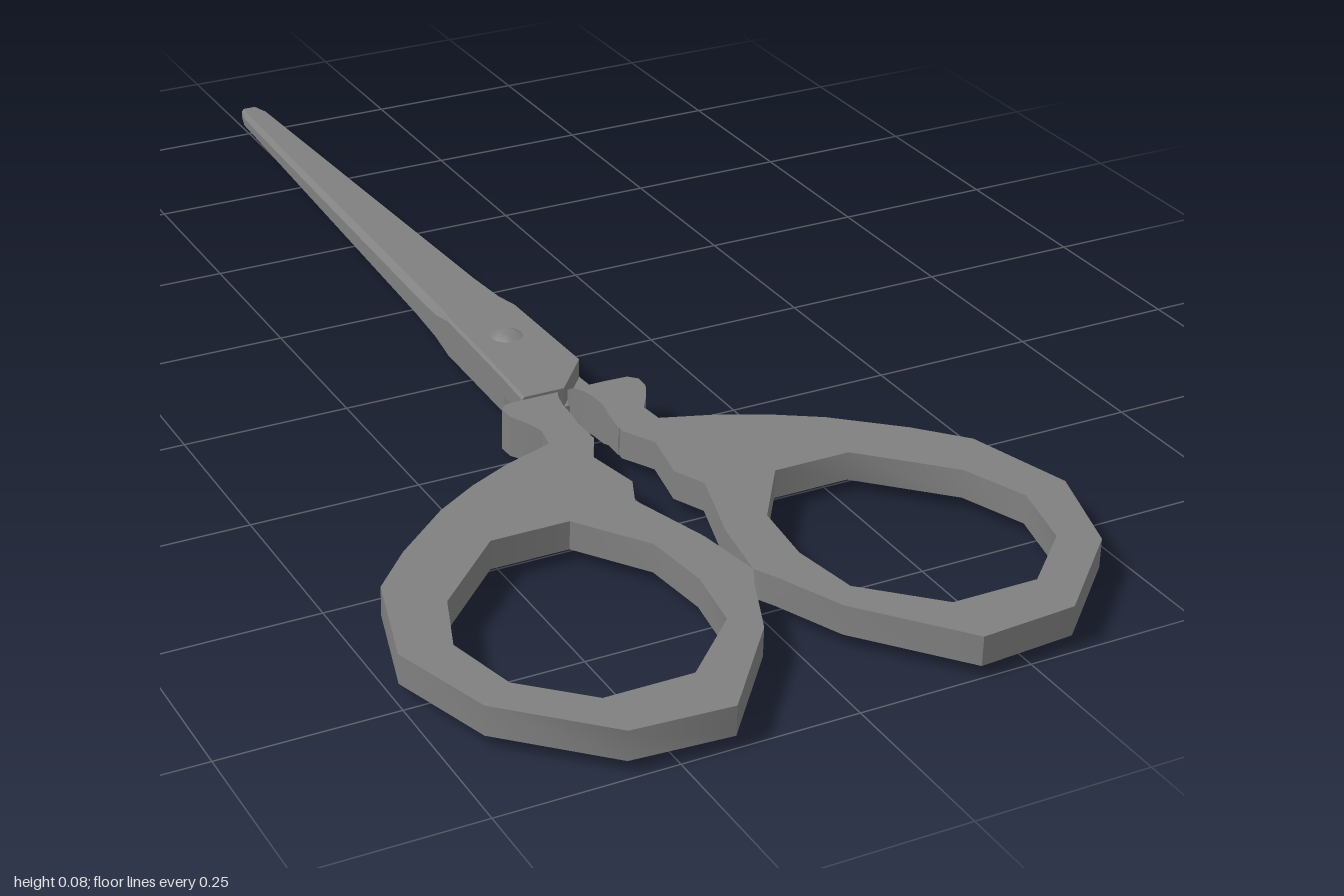
import * as THREE from 'three';
import { toCreasedNormals } from 'three/addons/utils/BufferGeometryUtils.js';

const material = new THREE.MeshStandardMaterial({ color: 0x808080 });
const MID = 0.04; // height of the plane between the two halves

function part(name, geometry) {
  const mesh = new THREE.Mesh(geometry, material);
  mesh.name = name;
  return mesh;
}

// Skin a row of cross-sections (counter-clockwise in x, y) placed along z
function loft(sections) {
  const n = sections[0].points.length;
  const positions = sections.flatMap(({ z, points }) => points.flatMap(([x, y]) => [x, y, z]));
  const index = [];
  for (let i = 0; i < sections.length - 1; i++) {
    for (let j = 0; j < n; j++) {
      const a = i * n + j, b = i * n + (j + 1) % n;
      index.push(a, b, a + n, b, b + n, a + n);
    }
  }
  const last = (sections.length - 1) * n;
  for (let j = 1; j < n - 1; j++) {
    index.push(0, j + 1, j, last, last + j, last + j + 1);
  }
  const geometry = new THREE.BufferGeometry();
  geometry.setAttribute('position', new THREE.Float32BufferAttribute(positions, 3));
  geometry.setIndex(index);
  return toCreasedNormals(geometry, 0.35);
}

// Blade and pivot plate: z, cutting edge x, spine x, thickness, bevel width, edge thickness
function bladeGeometry() {
  const stations = [
    [-1, -0.012, 0.012, 0.008, 0.004, 0.004],
    [-0.97, -0.02, 0.02, 0.009, 0.008, 0.004],
    [-0.2, -0.048, 0.048, 0.02, 0.01, 0.01],
    [-0.12, -0.052, 0.052, 0.023, 0.01, 0.014],
    [-0.07, -0.055, 0.055, 0.03, 0.004, 0.026],
    [0.13, -0.062, 0.06, 0.03, 0.004, 0.026],
    [0.2, -0.066, 0, 0.03, 0.004, 0.026],
  ];
  return loft(stations.map(([z, l, r, h, bevel, edge]) => ({
    z, points: [[l, 0], [r, 0], [r, h], [l + bevel, h], [l, edge]],
  })));
}

// Swollen collar joining shank and handle: z, inner x, outer x, half thickness
function collarGeometry() {
  const stations = [
    [0.196, 0.008, 0.066, 0.024],
    [0.208, 0.014, 0.097, 0.03],
    [0.222, 0.02, 0.108, 0.031],
    [0.245, 0.025, 0.107, 0.031],
    [0.272, 0.026, 0.093, 0.03],
    [0.29, 0.025, 0.08, 0.024],
    [0.325, 0.022, 0.086, 0.0215],
  ];
  return loft(stations.map(([z, a, b, h]) => ({
    z, points: [[-b, -h], [-a, -h], [-a, h], [-b, h]],
  })));
}

// Faceted finger loop, drawn in x and z
function handleGeometry() {
  const outer = [
    [0.08, 0.3], [0.086, 0.323], [0.164, 0.35], [0.23, 0.382], [0.296, 0.423],
    [0.386, 0.5], [0.447, 0.566], [0.492, 0.72], [0.446, 0.868], [0.317, 0.99],
    [0.175, 1], [0.058, 0.862], [0.016, 0.765], [0, 0.735], [0.016, 0.635],
    [0.053, 0.513], [0.032, 0.466], [0.048, 0.383], [0.022, 0.335], [0.026, 0.3],
  ];
  const inner = [
    [0.156, 0.524], [0.272, 0.524], [0.386, 0.635], [0.422, 0.73], [0.397, 0.836],
    [0.312, 0.915], [0.185, 0.915], [0.09, 0.825], [0.074, 0.725], [0.085, 0.624],
  ];
  const toPoints = (list) => list.map(([x, z]) => new THREE.Vector2(-x, -z));
  const shape = new THREE.Shape(toPoints(outer));
  shape.holes.push(new THREE.Path(toPoints(inner)));
  const geometry = new THREE.ExtrudeGeometry(shape, { depth: 0.043, bevelEnabled: false });
  geometry.translate(0, 0, -0.0215);
  geometry.rotateX(-Math.PI / 2);
  return toCreasedNormals(geometry, 0.78);
}

export function createModel() {
  const model = new THREE.Group();
  model.name = 'scissors';

  // The two halves are the same piece, one turned over about the long axis
  const blade = bladeGeometry(), collar = collarGeometry(), handle = handleGeometry();
  ['upperHalf', 'lowerHalf'].forEach((name, i) => {
    const half = new THREE.Group();
    half.name = name;
    half.add(part('blade', blade), part('collar', collar), part('fingerLoop', handle));
    half.rotation.z = i * Math.PI;
    half.position.y = MID;
    model.add(half);
  });

  // Domed pivot rivet through both blades
  const profile = [[0, -0.04], [0.011, -0.038], [0.026, -0.029], [0.026, 0.029], [0.011, 0.038], [0, 0.04]];
  const rivet = part('pivotRivet', new THREE.LatheGeometry(profile.map(([x, y]) => new THREE.Vector2(x, y)), 12));
  rivet.geometry = toCreasedNormals(rivet.geometry, 0.7);
  rivet.position.set(0, MID, 0.015);
  model.add(rivet);

  return model;
}
